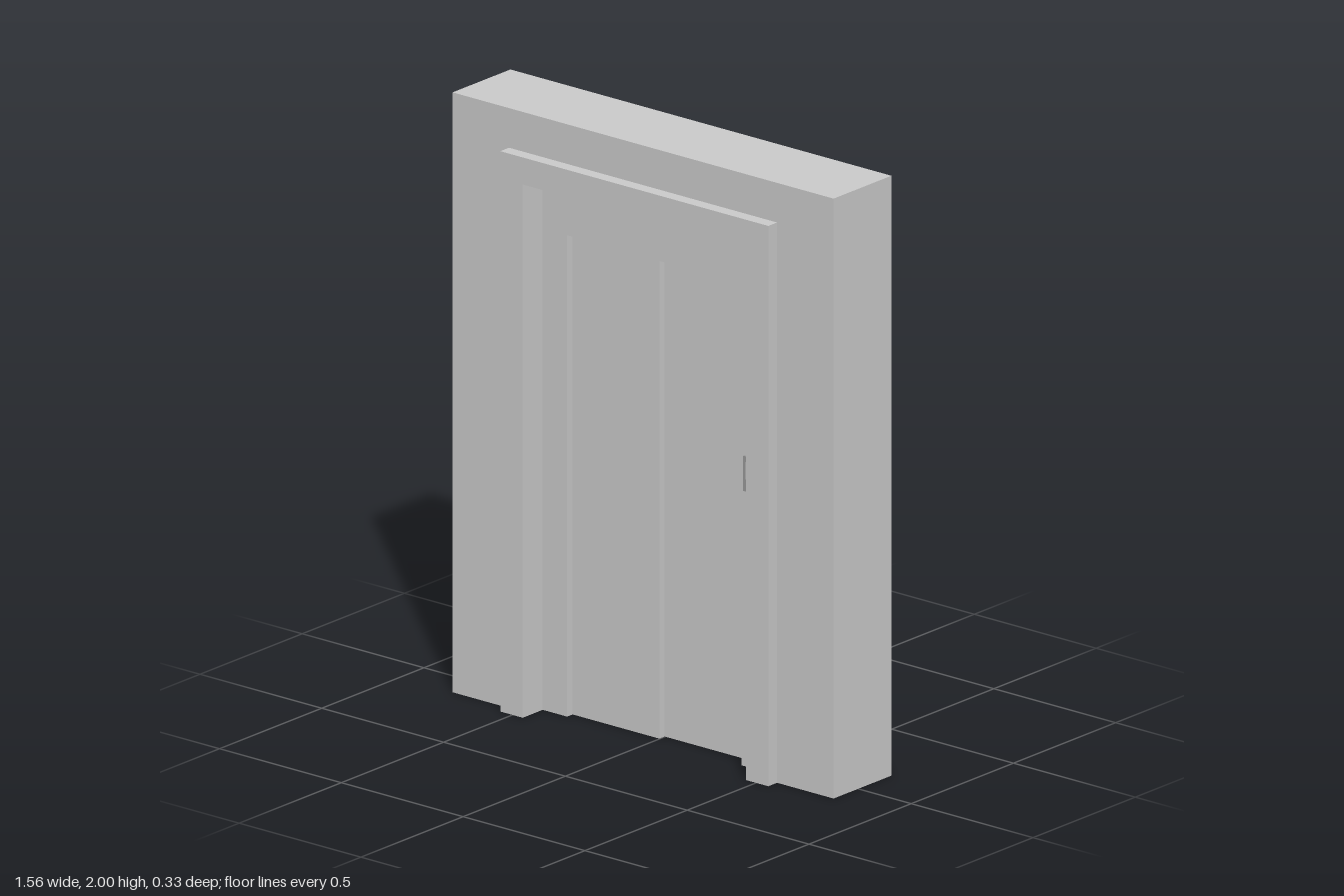
import * as THREE from 'three';

const grey = new THREE.MeshStandardMaterial({ color: 0xcccccc });
const dark = new THREE.MeshStandardMaterial({ color: 0x9a9a9a });
const light = new THREE.MeshStandardMaterial({ color: 0xeeeeee });

// Arch-shaped layer: a rectangle with a doorway notch open at the floor
function portal(name, halfW, height, notchHalf, notchTop, z0, z1) {
  const s = new THREE.Shape([
    [-halfW, 0], [-notchHalf, 0], [-notchHalf, notchTop], [notchHalf, notchTop],
    [notchHalf, 0], [halfW, 0], [halfW, height], [-halfW, height],
  ].map(([x, y]) => new THREE.Vector2(x, y)));
  const geo = new THREE.ExtrudeGeometry(s, { depth: z1 - z0, bevelEnabled: false });
  const mesh = new THREE.Mesh(geo, grey);
  mesh.position.z = z0;
  mesh.name = name;
  return mesh;
}

// Box given by its extents
function block(name, x0, x1, y0, y1, z0, z1, mat = grey) {
  const mesh = new THREE.Mesh(new THREE.BoxGeometry(x1 - x0, y1 - y0, z1 - z0), mat);
  mesh.position.set((x0 + x1) / 2, (y0 + y1) / 2, (z0 + z1) / 2);
  mesh.name = name;
  return mesh;
}

export function createModel() {
  const group = new THREE.Group();
  group.name = 'elevatorDoorway';

  const W = 0.782, H = 2, back = -0.163, core = -0.02;
  const recess = 0.065, wallFront = 0.12, trimFront = 0.163;

  // Wall, built up in stepped layers around the doorway
  group.add(
    block('wallBack', -W, W, 0, H, back, core),
    portal('innerFrame', W, H, 0.358, 1.605, core, recess),
    portal('wallFront', W, H, 0.458, 1.778, recess, wallFront),
    portal('doorTrim', 0.55, 1.868, 0.458, 1.778, wallFront, trimFront),
  );

  // Two sliding panels, one set behind the other
  group.add(
    block('frontDoorPanel', -0.358, -0.002, 0, 1.605, core, 0.038),
    block('rearDoorPanel', -0.002, 0.358, 0, 1.605, core, 0.012),
  );

  // Call panel with its button
  group.add(
    block('callPanel', 0.37, 0.442, 0.92, 1.037, recess, 0.073, dark),
    block('callButton', 0.384, 0.43, 0.962, 1.018, 0.073, 0.077, light),
  );
  return group;
}
